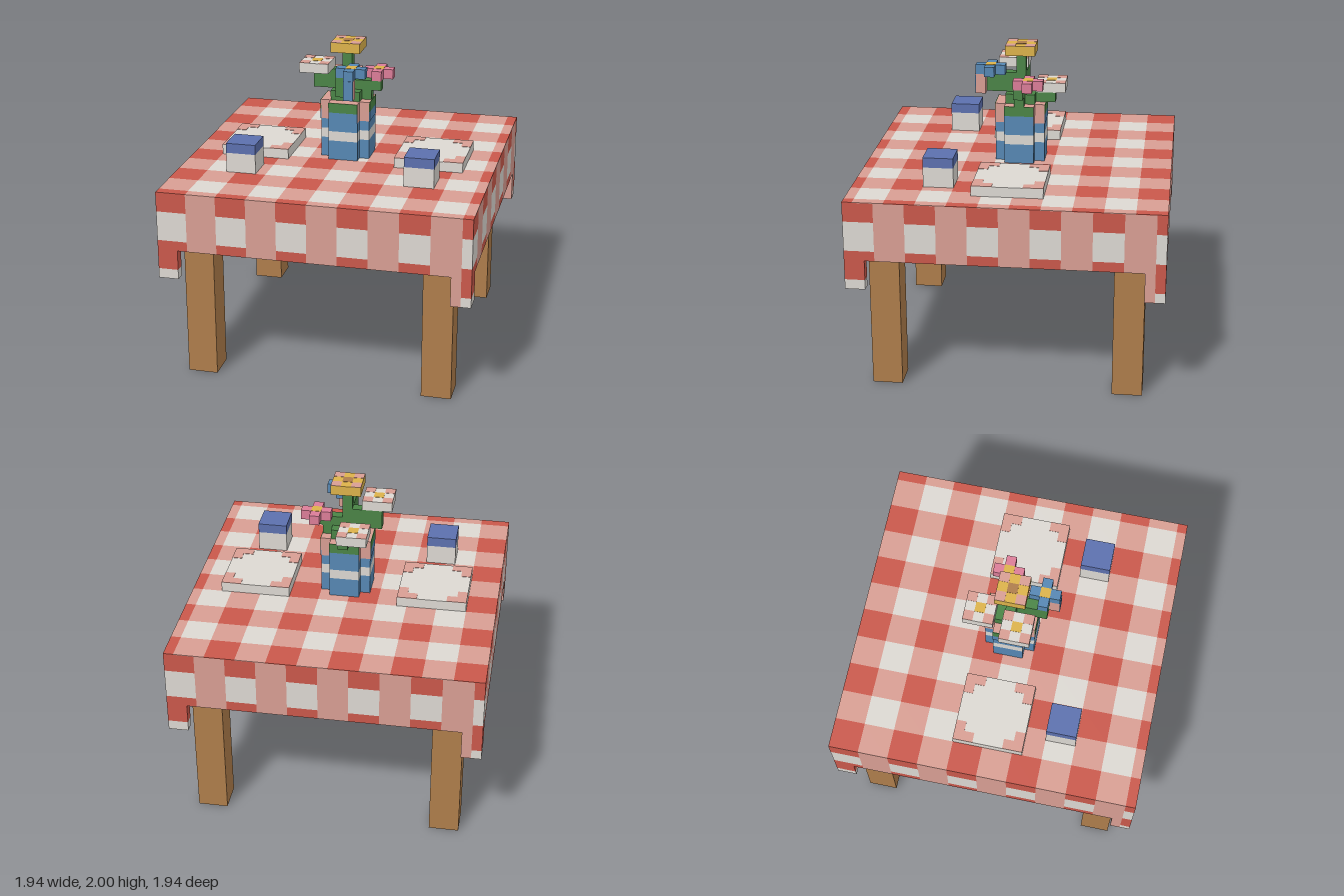
import * as THREE from 'three';
import { mergeGeometries } from 'three/addons/utils/BufferGeometryUtils.js';

const U = 0.0625;      // one block
const H = 15.5 * U;    // half width of the cloth

const PALETTE = {
  red: 0xc9584b, pink: 0xd89e93, white: 0xdcd8d2, wood: 0xae7d4b, cupBlue: 0x5c70ae,
  vaseBlue: 0x5687b3, green: 0x4a8446, yellow: 0xdcb24a, rose: 0xdb7d98,
};

export function createModel() {
  const model = new THREE.Group();
  model.name = 'tableWithFlowers';
  const mats = {};
  for (const [name, color] of Object.entries(PALETTE)) {
    mats[name] = new THREE.MeshStandardMaterial({ color });
    mats[name].name = name;
  }

  const group = (name, parent = model) => {
    const g = new THREE.Group();
    g.name = name;
    parent.add(g);
    return g;
  };
  // box geometry from two corners
  const boxGeo = (x0, y0, z0, x1, y1, z1) =>
    new THREE.BoxGeometry(x1 - x0, y1 - y0, z1 - z0)
      .translate((x0 + x1) / 2, (y0 + y1) / 2, (z0 + z1) / 2);
  const add = (parent, name, mat, geos) => {
    const mesh = new THREE.Mesh(Array.isArray(geos) ? mergeGeometries(geos) : geos, mats[mat]);
    mesh.name = name;
    parent.add(mesh);
    return mesh;
  };
  // four-armed cross of blocks, three wide and 2 * r across
  const cross = (cx, cz, w, r, y0, y1) => [
    boxGeo(cx - r, y0, cz - w, cx + r, y1, cz + w),
    boxGeo(cx - w, y0, cz - r, cx + w, y1, cz + r),
  ];

  // Table: top and four legs
  const table = group('table');
  add(table, 'tableTop', 'wood', boxGeo(-H + U, 17 * U, -H + U, H - U, 1.246, H - U));
  for (const sx of [-1, 1]) for (const sz of [-1, 1]) {
    const leg = add(table, 'leg', 'wood', new THREE.BoxGeometry(3 * U, 17 * U, 3 * U));
    leg.position.set(sx * 12 * U, 8.5 * U, sz * 12 * U);
  }

  // Cloth top: gingham of three-block squares
  const cloth = group('tablecloth');
  const top = { red: [], pink: [], white: [] };
  const edge = (i) => Math.min(-H + i * 3 * U, H);
  for (let i = 0; i < 11; i++) for (let j = 0; j < 11; j++) {
    const key = ['red', 'pink', 'white'][(i % 2) + (j % 2)];
    top[key].push(boxGeo(edge(i), 1.246, edge(j), edge(i + 1), 1.25, edge(j + 1)));
  }
  for (const key in top) add(cloth, 'clothTop', key, top[key]);

  // Cloth skirt: one side, turned about the table; the corners hang lower
  const side = { red: [], pink: [], white: [] };
  const strip = (key, x0, x1, y0, y1) => side[key].push(boxGeo(x0, y0, H - U, x1, y1, H));
  for (let i = 0; i < 10; i++) {
    const a = edge(i), b = edge(i + 1);
    if (i % 2) {
      strip('pink', a, b, 14 * U, 1.246);
    } else {
      strip('red', a, b, 18 * U, 1.246);
      strip('white', a, b, 15 * U, 18 * U);
      strip('red', a, b, 14 * U, 15 * U);
    }
  }
  strip('red', -H, -H + 2 * U, 12 * U, 14 * U);
  strip('white', -H, -H + 2 * U, 11 * U, 12 * U);
  strip('pink', H - 2 * U, H - U, 11 * U, 14 * U);
  for (let k = 0; k < 4; k++) {
    const skirt = group('clothSide', cloth);
    skirt.rotation.y = k * Math.PI / 2;
    for (const key in side) add(skirt, 'clothPanel', key, side[key]);
  }

  // Plates and cups, one pair each side
  for (const s of [-1, 1]) {
    const plate = group('plate');
    plate.position.set(s * 9 * U, 20 * U, 0);
    add(plate, 'plateBody', 'white', boxGeo(-3.5 * U, 0, -3.5 * U, 3.5 * U, U, 3.5 * U));
    const corners = [];
    for (const sx of [-1, 1]) for (const sz of [-1, 1]) {
      for (const [cx, cz] of [[3, 3], [2, 3], [3, 2]]) {
        corners.push(new THREE.BoxGeometry(U, 0.003, U).translate(sx * cx * U, U + 0.001, sz * cz * U));
      }
    }
    add(plate, 'plateCorners', 'pink', corners);

    const cup = group('cup');
    cup.position.set(s * 9 * U, 20 * U, 7 * U);
    add(cup, 'cupBody', 'white', boxGeo(-1.5 * U, 0, -1.5 * U, 1.5 * U, 2 * U, 1.5 * U));
    add(cup, 'cupRim', 'cupBlue', boxGeo(-1.5 * U, 2 * U, -1.5 * U, 1.5 * U, 3 * U, 1.5 * U));
  }

  // Vase: banded cross section
  const vase = group('vase');
  for (const [name, mat, y0, y1] of [
    ['vaseBase', 'vaseBlue', 20, 22], ['vaseBand', 'white', 22, 23],
    ['vaseShoulder', 'vaseBlue', 23, 24], ['vaseNeck', 'pink', 24, 26],
  ]) add(vase, name, mat, cross(0, 0, 1.5 * U, 2.5 * U, y0 * U, y1 * U));
  for (let k = 0; k < 4; k++) {
    const face = group('neckFace', vase);
    face.rotation.y = k * Math.PI / 2;
    const z = 2.5 * U;
    add(face, 'neckLower', 'vaseBlue', boxGeo(-1.5 * U, 24 * U, z, 1.5 * U, 25 * U, z + 0.004));
    add(face, 'neckLeaves', 'green', boxGeo(-1.5 * U, 25 * U, z, 1.5 * U, 26 * U, z + 0.004));
  }

  // Stems, in block units
  const flowers = group('bouquet');
  add(flowers, 'stems', 'green', [
    [-0.5, 26, -0.5, 0.5, 31, 0.5],
    [-1.5, 26, -1.5, 1.5, 27, 1.5],
    [-3.5, 27, -0.5, -0.5, 29, 0.5],
    [0.5, 26, -0.5, 2.5, 27, 0.5],
    [0.5, 27, -0.5, 3.5, 28, 0.5],
    [-0.5, 26, -3.5, 0.5, 27, -0.5],
    [-0.5, 27, 0.5, 0.5, 29, 3.5],
  ].map((b) => boxGeo(...b.map((v) => v * U))));

  // Blossoms: [name, petals, centre, x, y, z, square]
  for (const [name, petal, heart, x, y, z, square] of [
    ['tallFlower', 'yellow', 'wood', 0, 31, 0, true],
    ['leftSideFlower', 'white', 'yellow', -3, 29, 1, true],
    ['backFlower', 'white', 'yellow', -1, 27, -3, true],
    ['roseFlower', 'rose', 'yellow', 3, 28, -1, false],
    ['blueFlower', 'vaseBlue', 'yellow', 1, 29, 3, false],
  ]) {
    const f = group(name, flowers);
    f.position.set(x * U, y * U, z * U);
    const r = 1.5 * U;
    add(f, 'petals', petal, square ? boxGeo(-r, 0, -r, r, U, r) : cross(0, 0, U / 2, r, 0, U));
    add(f, 'flowerCentre', heart, boxGeo(-U / 2, U - 0.002, -U / 2, U / 2, U + 0.002, U / 2));
    if (square) {
      const tips = [];
      for (const sx of [-1, 1]) for (const sz of [-1, 1]) {
        tips.push(new THREE.BoxGeometry(U, 0.003, U).translate(sx * U, U, sz * U));
      }
      add(f, 'petalCorners', 'pink', tips);
    }
  }

  // Drooping petal below the blue flower
  add(flowers, 'droopingPetal', 'pink', boxGeo(U / 2, 27 * U, 3.5 * U, 1.5 * U, 29 * U, 4.5 * U));
  add(flowers, 'droopingPetalFace', 'vaseBlue',
    boxGeo(U / 2, 27 * U, 4.5 * U, 1.5 * U, 29 * U, 4.5 * U + 0.004));

  return model;
}
